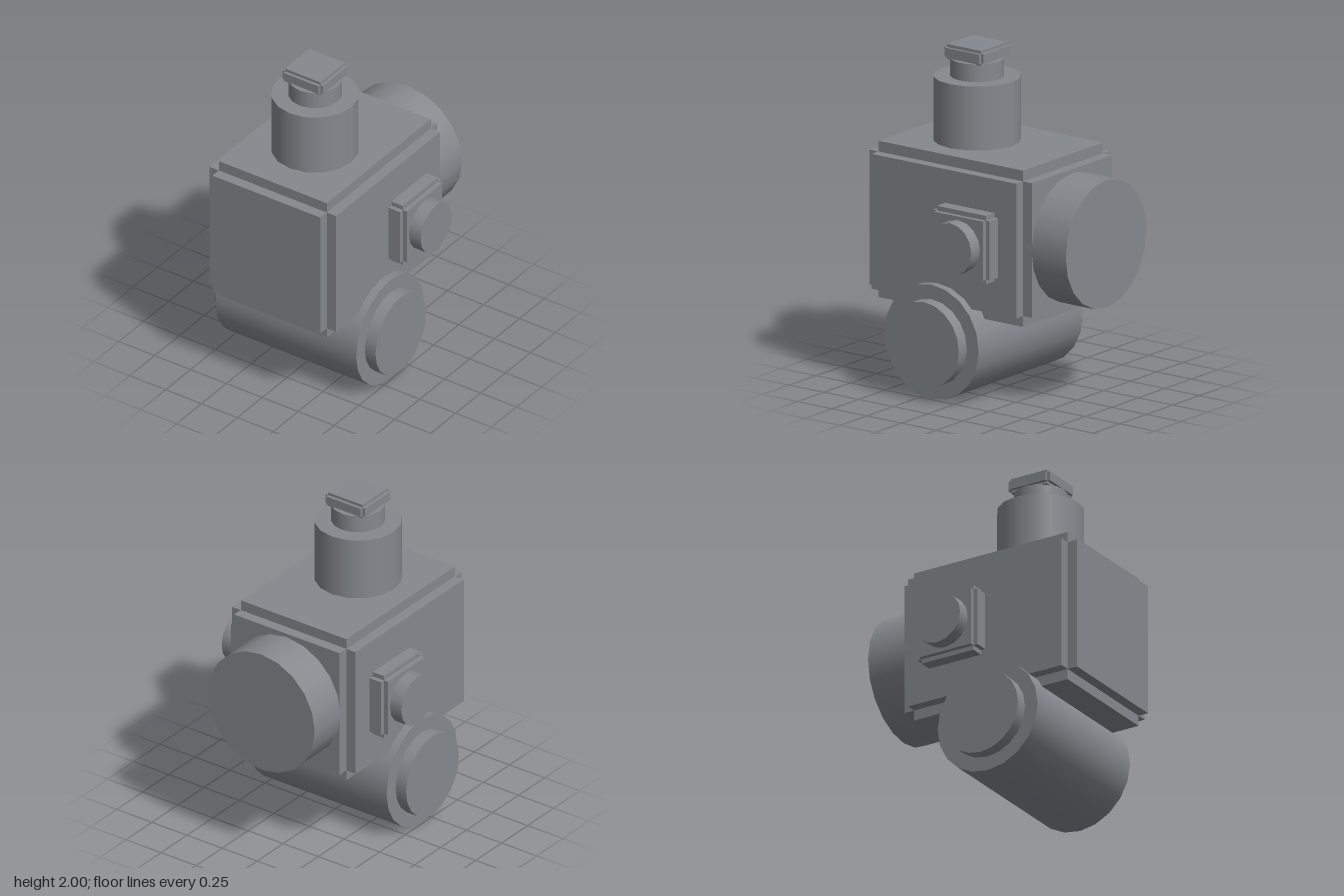
import * as THREE from 'three';
import { mergeVertices } from 'three/addons/utils/BufferGeometryUtils.js';

const steel = new THREE.MeshStandardMaterial({ color: 0x85898e });

// Box with a square step cut along every edge, made of three crossing boxes
function steppedBox(name, [w, h, d], [x, y, z], step) {
  const group = new THREE.Group();
  group.name = name;
  const s = 2 * step;
  [
    ['sides', w, h - s, d - s],
    ['topAndBottom', w - s, h, d - s],
    ['frontAndBack', w - s, h - s, d],
  ].forEach(([part, a, b, c]) => {
    const mesh = new THREE.Mesh(new THREE.BoxGeometry(a, b, c), steel);
    mesh.name = `${name}_${part}`;
    group.add(mesh);
  });
  group.position.set(x, y, z);
  return group;
}

// Capped cylinder lying along the given axis
function drum(name, radius, length, [x, y, z], axis = 'y', sides = 16) {
  const geometry = mergeVertices(new THREE.CylinderGeometry(radius, radius, length, sides));
  if (axis === 'x') geometry.rotateZ(Math.PI / 2);
  if (axis === 'z') geometry.rotateX(Math.PI / 2);
  const mesh = new THREE.Mesh(geometry, steel);
  mesh.name = name;
  mesh.position.set(x, y, z);
  return mesh;
}

export function createModel() {
  const model = new THREE.Group();
  model.name = 'machineHead';

  // Main housing
  model.add(steppedBox('housing', [0.88, 0.929, 1.172], [0, 0.9655, 0.122], 0.064));

  // Tower on top, with neck and square cap
  model.add(drum('tower', 0.253, 0.4, [0, 1.61, 0.22]));
  model.add(drum('neck', 0.156, 0.125, [0, 1.8525, 0.22]));
  model.add(steppedBox('cap', [0.282, 0.09, 0.282], [0, 1.955, 0.22], 0.018));

  // Round drum at the back
  model.add(drum('backDrum', 0.38, 0.29, [0, 0.964, -0.565], 'z', 20));

  // Crosswise roller underneath, with narrower ends
  model.add(drum('roller', 0.34, 0.98, [0, 0.34, 0.173], 'x', 20));
  for (const side of [1, -1]) {
    const label = side > 0 ? 'left' : 'right';
    model.add(drum(`${label}RollerEnd`, 0.254, 0.1, [side * 0.515, 0.34, 0.173], 'x', 20));

    // Side plate with round knob
    model.add(steppedBox(`${label}Plate`, [0.136, 0.408, 0.408], [side * 0.491, 0.966, -0.073], 0.028));
    model.add(drum(`${label}Knob`, 0.155, 0.1, [side * 0.59, 0.966, -0.073], 'x'));
  }
  return model;
}
